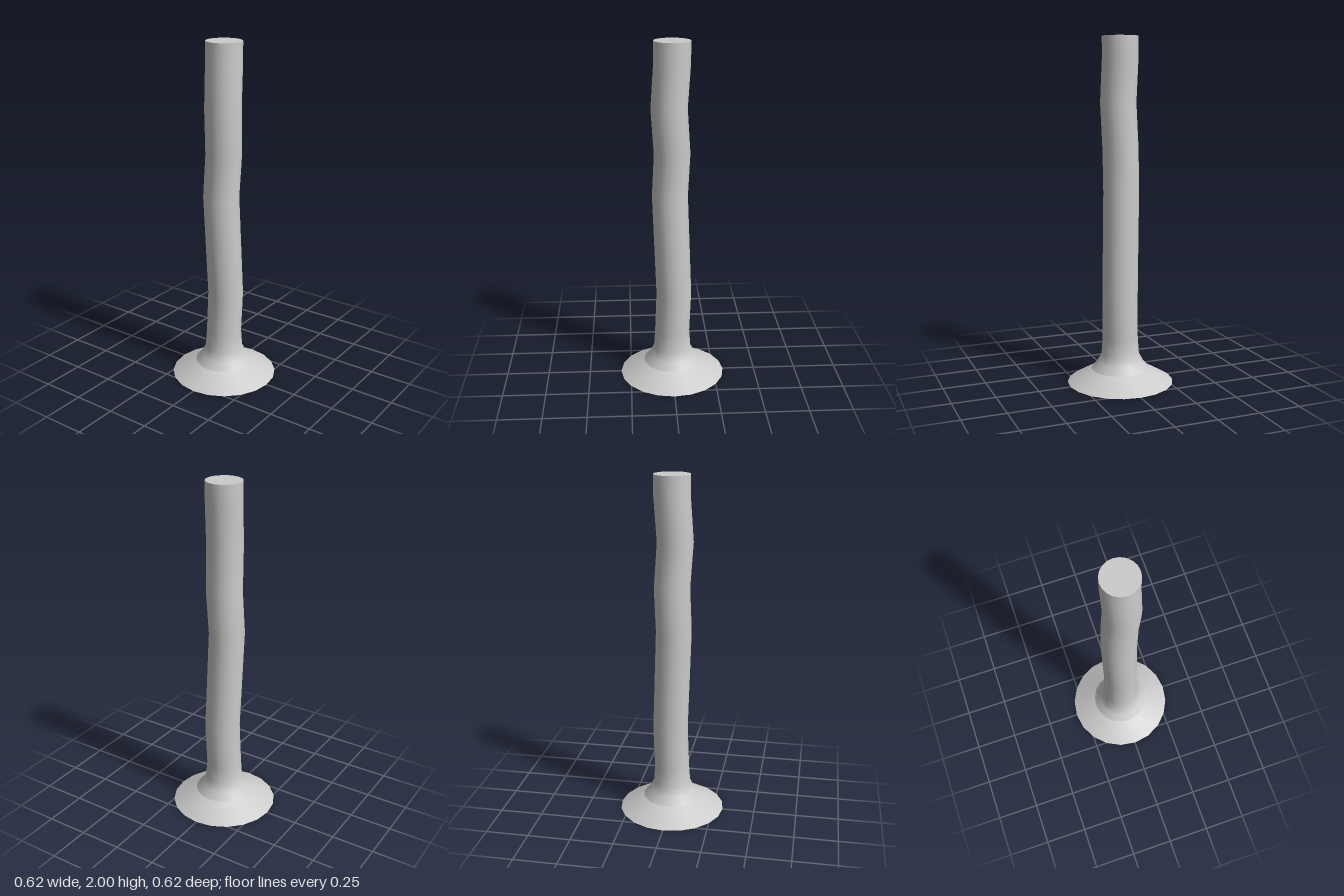
import * as THREE from 'three';
import { mergeVertices } from 'three/addons/utils/BufferGeometryUtils.js';

const SIDES = 20;

// Each ring is [y, radius, centreX, centreZ], listed from the ground up
const baseRings = [
  [0, 0.31, 0, 0],
  [0.08, 0.17, 0, 0],
];
const trunkRings = [
  [0.08, 0.17, 0, 0],
  [0.12, 0.135, 0, 0],
  [0.17, 0.11, 0, 0],
  [0.27, 0.103, 0, 0],
  [0.52, 0.103, 0.01, 0.005],
  [1.12, 0.103, -0.012, -0.011],
  [1.37, 0.103, 0, -0.002],
  [1.63, 0.103, -0.017, 0.005],
  [1.88, 0.103, 0, 0],
  [2, 0.103, 0, 0],
];

export function createModel() {
  const group = new THREE.Group();
  group.name = 'crookedTrunk';
  const material = new THREE.MeshStandardMaterial({ color: 0xcccccc });

  const add = (name, geometry) => {
    const mesh = new THREE.Mesh(geometry, material);
    mesh.name = name;
    group.add(mesh);
    return mesh;
  };

  // Turn the rings into a smooth skin, then slide each ring to its centre
  const skin = (rings) => {
    const points = rings.map(([y, r]) => new THREE.Vector2(r, y));
    const lathe = new THREE.LatheGeometry(points, SIDES);
    const pos = lathe.attributes.position;
    for (let i = 0; i < pos.count; i++) {
      const [, , cx, cz] = rings[i % rings.length];
      pos.setX(i, pos.getX(i) + cx);
      pos.setZ(i, pos.getZ(i) + cz);
    }
    lathe.deleteAttribute('uv');
    lathe.deleteAttribute('normal');
    const geometry = mergeVertices(lathe);
    geometry.computeVertexNormals();
    return geometry;
  };

  // Flared foot and gently crooked trunk
  add('flaredBase', skin(baseRings));
  add('trunk', skin(trunkRings));

  // Flat ends
  const top = new THREE.CircleGeometry(0.103, SIDES).rotateX(-Math.PI / 2);
  add('topCap', top).position.y = 2;
  add('bottomCap', new THREE.CircleGeometry(0.31, SIDES).rotateX(Math.PI / 2));

  return group;
}
